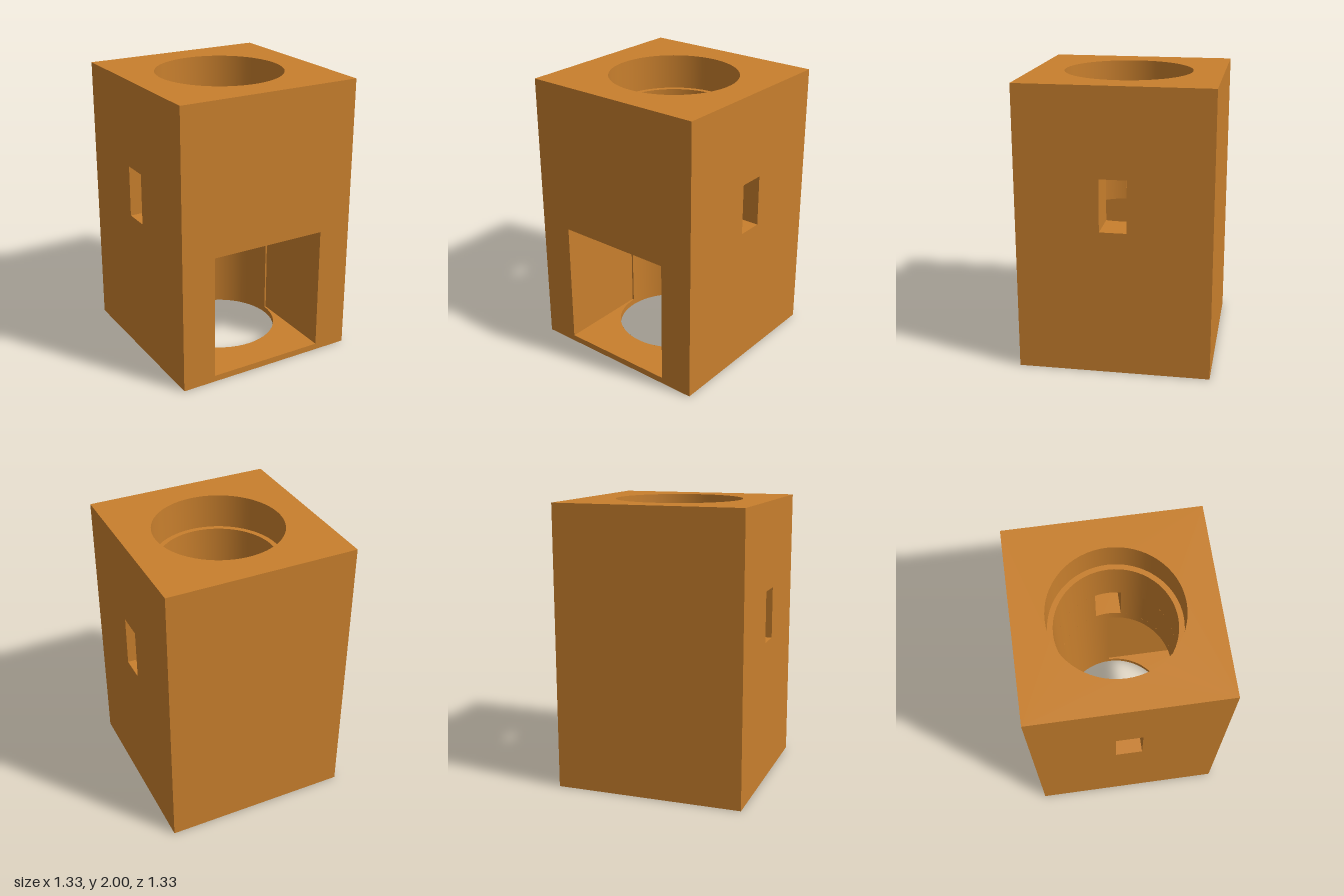
import * as THREE from 'three';

const H = 0.667;                    // half width of the block
const TOP = 2, LEDGE = 1.755;       // block top and counterbore ledge
const R = 0.413, R_TOP = 0.45;      // bore and counterbore radii
const P = 0.425, P0 = 0.045, P1 = 0.937; // front pocket half width, floor, ceiling
const W = 0.093, W0 = 1.02, W1 = 1.385;  // side window half width, sill, lintel
const Q = Math.PI / 2;

export function createModel() {
  const model = new THREE.Group();
  model.name = 'boredBlock';
  const body = new THREE.MeshStandardMaterial({ color: 0xc87f2d, side: THREE.DoubleSide });
  body.name = 'ochre';

  const add = (name, geometry, parent = model) => {
    const mesh = new THREE.Mesh(geometry, body);
    mesh.name = name;
    parent.add(mesh);
    return mesh;
  };

  const rect = (x0, y0, x1, y1, Type = THREE.Shape) => new Type([
    [x0, y0], [x1, y0], [x1, y1], [x0, y1],
  ].map(([x, y]) => new THREE.Vector2(x, y)));

  const face = (shape, hole) => {
    if (hole) shape.holes.push(hole);
    return new THREE.ShapeGeometry(shape, 32);
  };

  const circle = (r) => new THREE.Path().absarc(0, 0, r, 0, Math.PI * 2, true);

  // Inward-facing part of a cylinder; angle 0 points to the front
  const bore = (name, r, y0, y1, start = 0, length = Math.PI * 2) => add(name,
    new THREE.LatheGeometry([new THREE.Vector2(r, y1), new THREE.Vector2(r, y0)],
      Math.round(64 * length / (Math.PI * 2)), start, length));

  // Outer faces
  add('frontFace', face(rect(-H, 0, H, TOP), rect(-P, P0, P, P1, THREE.Path)).translate(0, 0, H));
  add('backFace', face(rect(-H, 0, H, TOP)).rotateY(Math.PI).translate(0, 0, -H));
  for (const s of [1, -1]) {
    add(s > 0 ? 'leftFace' : 'rightFace',
      face(rect(-H, 0, H, TOP), rect(-W, W0, W, W1, THREE.Path)).rotateY(s * Q).translate(s * H, 0, 0));
  }
  add('topFace', face(rect(-H, -H, H, H), circle(R_TOP)).rotateX(-Q).translate(0, TOP, 0));
  add('bottomFace', face(rect(-H, -H, H, H), circle(R)).rotateX(Q));

  // Counterbore and its ledge
  bore('counterbore', R_TOP, LEDGE, TOP);
  add('counterboreLedge', new THREE.RingGeometry(R, R_TOP, 64).rotateX(-Q).translate(0, LEDGE, 0));

  // Main bore, interrupted by the windows and the pocket
  const a = Math.asin(W / R);
  bore('upperBore', R, W1, LEDGE);
  bore('windowBoreBack', R, W0, W1, Q + a, Math.PI - 2 * a);
  bore('windowBoreFront', R, W0, W1, 3 * Q + a, Math.PI - 2 * a);
  bore('middleBore', R, P1, W0);
  bore('pocketBackWall', R, P0, P1, Q, Math.PI);
  bore('floorBore', R, 0, P0);

  // Front pocket: floor and ceiling are notched by the bore
  const notched = (s) => {
    const shape = new THREE.Shape();
    shape.moveTo(-P, 0).lineTo(-P, s * H).lineTo(P, s * H).lineTo(P, 0).lineTo(R, 0);
    shape.absarc(0, 0, R, 0, s * Math.PI, s < 0);
    return face(shape);
  };
  add('pocketFloor', notched(-1).rotateX(-Q).translate(0, P0, 0));
  add('pocketCeiling', notched(1).rotateX(Q).translate(0, P1, 0));
  for (const s of [1, -1]) {
    const side = s > 0 ? 'Left' : 'Right';
    add('pocketWall' + side, face(rect(-H / 2, P0, H / 2, P1)).rotateY(-s * Q).translate(s * P, 0, H / 2));
    const [x0, x1] = s > 0 ? [R, P] : [-P, -R];
    add('pocketStep' + side, face(rect(x0, P0, x1, P1)));
  }

  // Side windows running into the bore
  for (const s of [1, -1]) {
    const tunnel = new THREE.Group();
    tunnel.name = s > 0 ? 'leftWindow' : 'rightWindow';
    tunnel.rotation.y = s > 0 ? 0 : Math.PI;
    model.add(tunnel);
    const inner = R * Math.cos(a);
    const sill = new THREE.Shape();
    sill.moveTo(H, -W).lineTo(H, W).lineTo(inner, W);
    sill.absarc(0, 0, R, a, -a, true);
    add('windowSill', face(sill).rotateX(-Q).translate(0, W0, 0), tunnel);
    add('windowLintel', face(sill).rotateX(Q).translate(0, W1, 0), tunnel);
    add('windowJambBack', face(rect(inner, W0, H, W1)).translate(0, 0, -W), tunnel);
    add('windowJambFront', face(rect(-H, W0, -inner, W1)).rotateY(Math.PI).translate(0, 0, W), tunnel);
  }

  return model;
}
